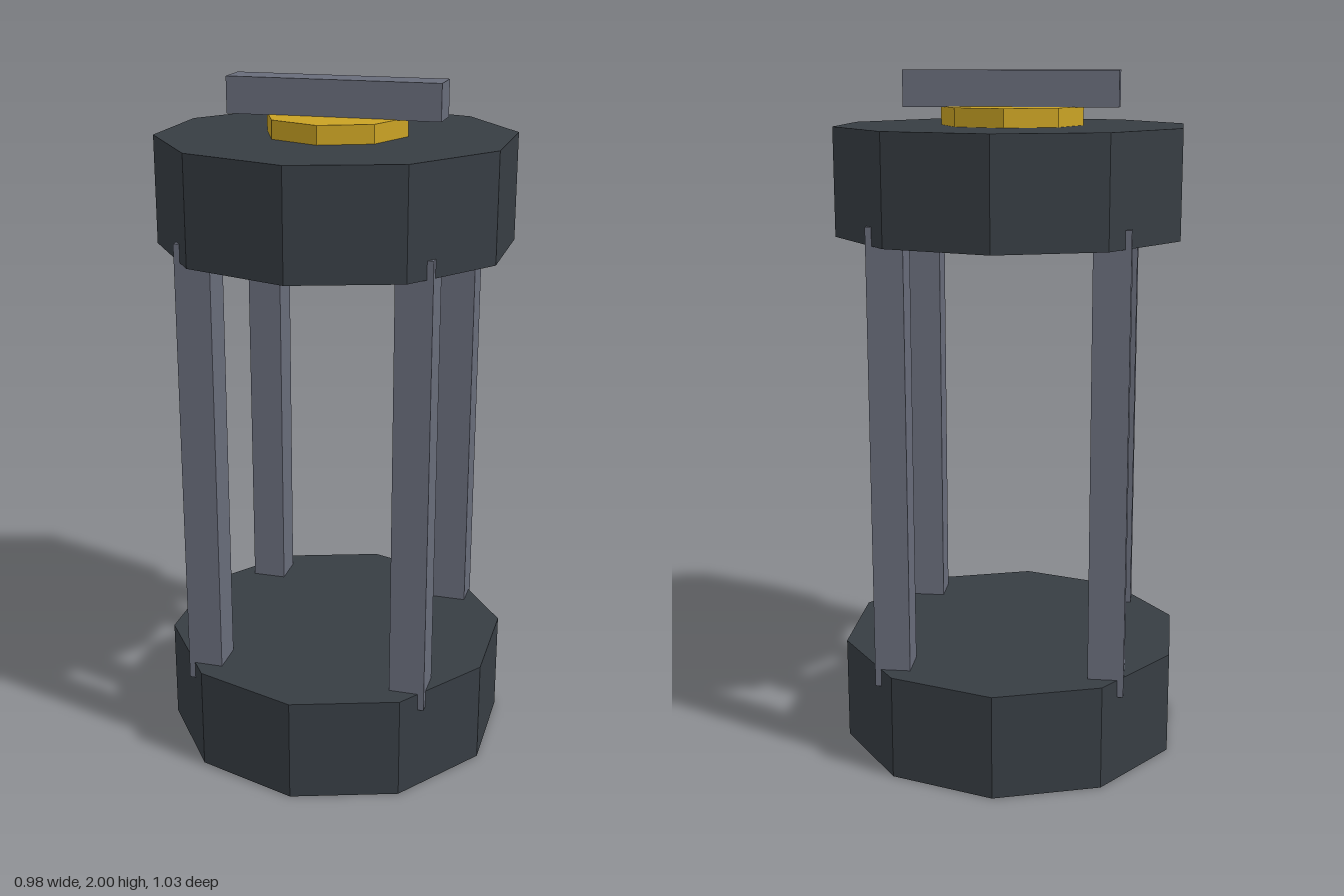
import * as THREE from 'three';

const mat = (name, color) => {
  const m = new THREE.MeshStandardMaterial({ color, flatShading: true });
  m.name = name;
  return m;
};

export function createModel() {
  const group = new THREE.Group();
  group.name = 'lantern';
  const dark = mat('dark slate', 0x373d43);
  const steel = mat('steel grey', 0x686c7a);
  const gold = mat('gold', 0xc9a224);

  const add = (name, geometry, material, x, y, z) => {
    const mesh = new THREE.Mesh(geometry, material);
    mesh.name = name;
    mesh.position.set(x, y, z);
    group.add(mesh);
  };

  // Ten-sided base and cap
  const drum = new THREE.CylinderGeometry(0.513, 0.513, 0.308, 10);
  add('base', drum, dark, 0, 0.154, 0);
  add('cap', drum, dark, 0, 1.692, 0);

  // Four square posts, let into the base and cap
  const post = new THREE.BoxGeometry(0.103, 1.333, 0.103);
  for (const x of [-1, 1])
    for (const z of [-1, 1])
      add(`post${z > 0 ? 'Front' : 'Back'}${x > 0 ? 'Left' : 'Right'}`, post, steel, x * 0.308, 0.923, z * 0.308);

  // Eight-sided collar and carrying bar on top
  add('collar', new THREE.CylinderGeometry(0.205, 0.205, 0.053, 8), gold, 0, 1.872, 0);
  add('handleBar', new THREE.BoxGeometry(0.615, 0.103, 0.103), steel, 0, 1.9485, 0);

  return group;
}
